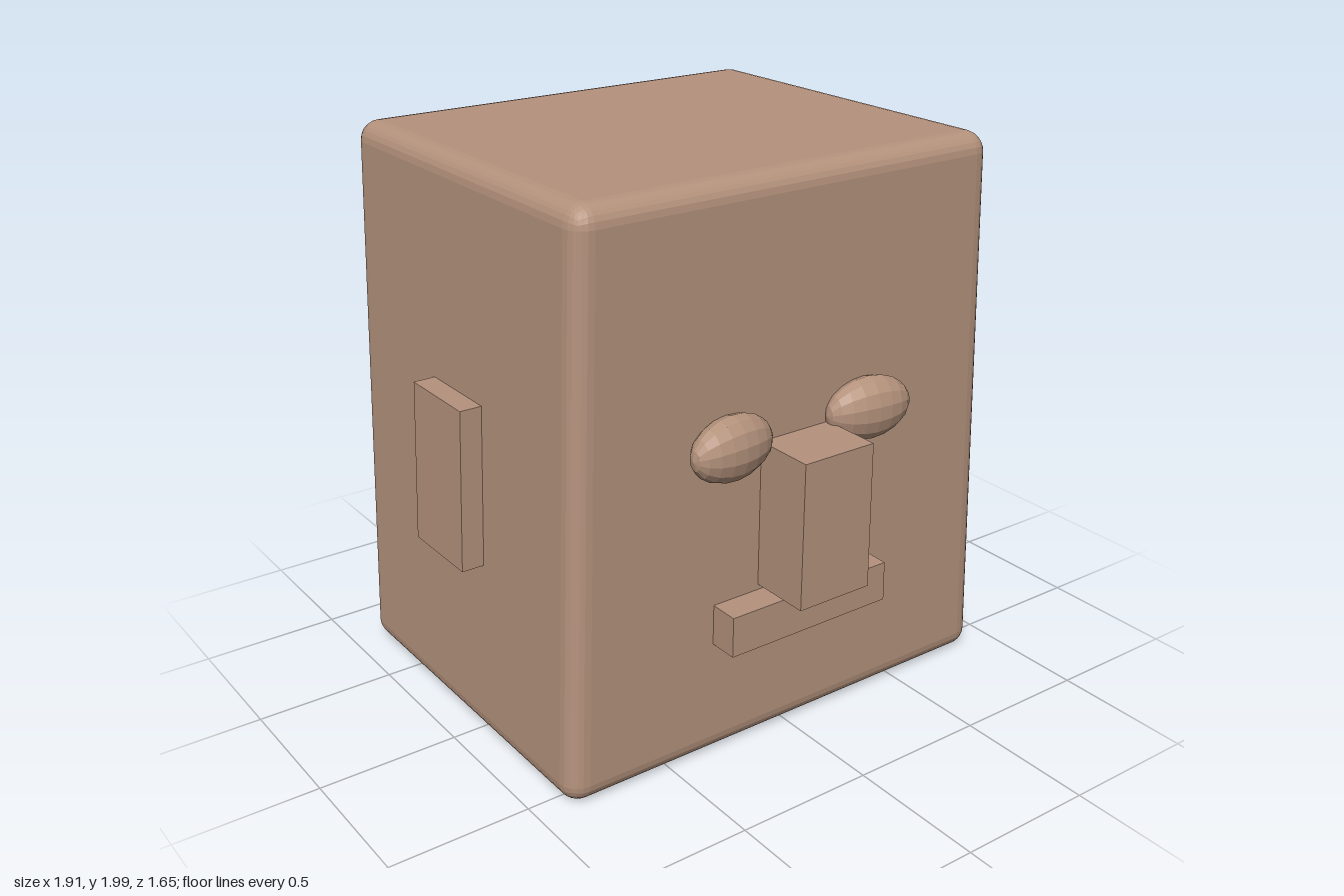
import * as THREE from 'three';
import { RoundedBoxGeometry } from 'three/addons/geometries/RoundedBoxGeometry.js';

// Everything narrows towards the top in x
function taper(geometry) {
  const p = geometry.attributes.position;
  for (let i = 0; i < p.count; i++) {
    p.setX(i, p.getX(i) * (1 - 0.0465 * (p.getY(i) - 1)));
  }
  geometry.computeVertexNormals();
  return geometry;
}

export function createModel() {
  const model = new THREE.Group();
  model.name = 'blockHead';
  const clay = new THREE.MeshStandardMaterial({ color: 0xb4927c, flatShading: true });
  clay.name = 'clay brown';

  function add(name, geometry) {
    const mesh = new THREE.Mesh(geometry, clay);
    mesh.name = name;
    model.add(mesh);
    return mesh;
  }
  function block(x0, x1, y0, y1, z0, z1) {
    const g = new THREE.BoxGeometry(x1 - x0, y1 - y0, z1 - z0);
    return taper(g.translate((x0 + x1) / 2, (y0 + y1) / 2, (z0 + z1) / 2));
  }

  // Head: softly bevelled block
  const head = new RoundedBoxGeometry(1.72, 1.994, 1.425, 3, 0.07);
  add('head', taper(head.translate(0, 1.003, -0.1125)));

  // Nose and mouth, sunk slightly into the face
  add('nose', block(-0.142, 0.142, 0.6, 1.12, 0.5, 0.823));
  add('mouth', block(-0.322, 0.322, 0.435, 0.58, 0.5, 0.707));

  // Ears and faceted eyes, mirrored
  for (const side of [1, -1]) {
    const name = side > 0 ? 'left' : 'right';
    const [a, b] = [0.8 * side, 0.939 * side];
    add(name + 'Ear', block(Math.min(a, b), Math.max(a, b), 0.66, 1.23, -0.27, 0.047));

    const ball = new THREE.SphereGeometry(1, 14, 10).rotateZ(Math.PI / 2);
    const eye = add(name + 'Eye', ball);
    eye.scale.set(0.165, 0.112, 0.078);
    eye.position.set(0.285 * side, 1.146, 0.631);
    eye.rotation.y = -0.1 * side;
  }
  return model;
}
